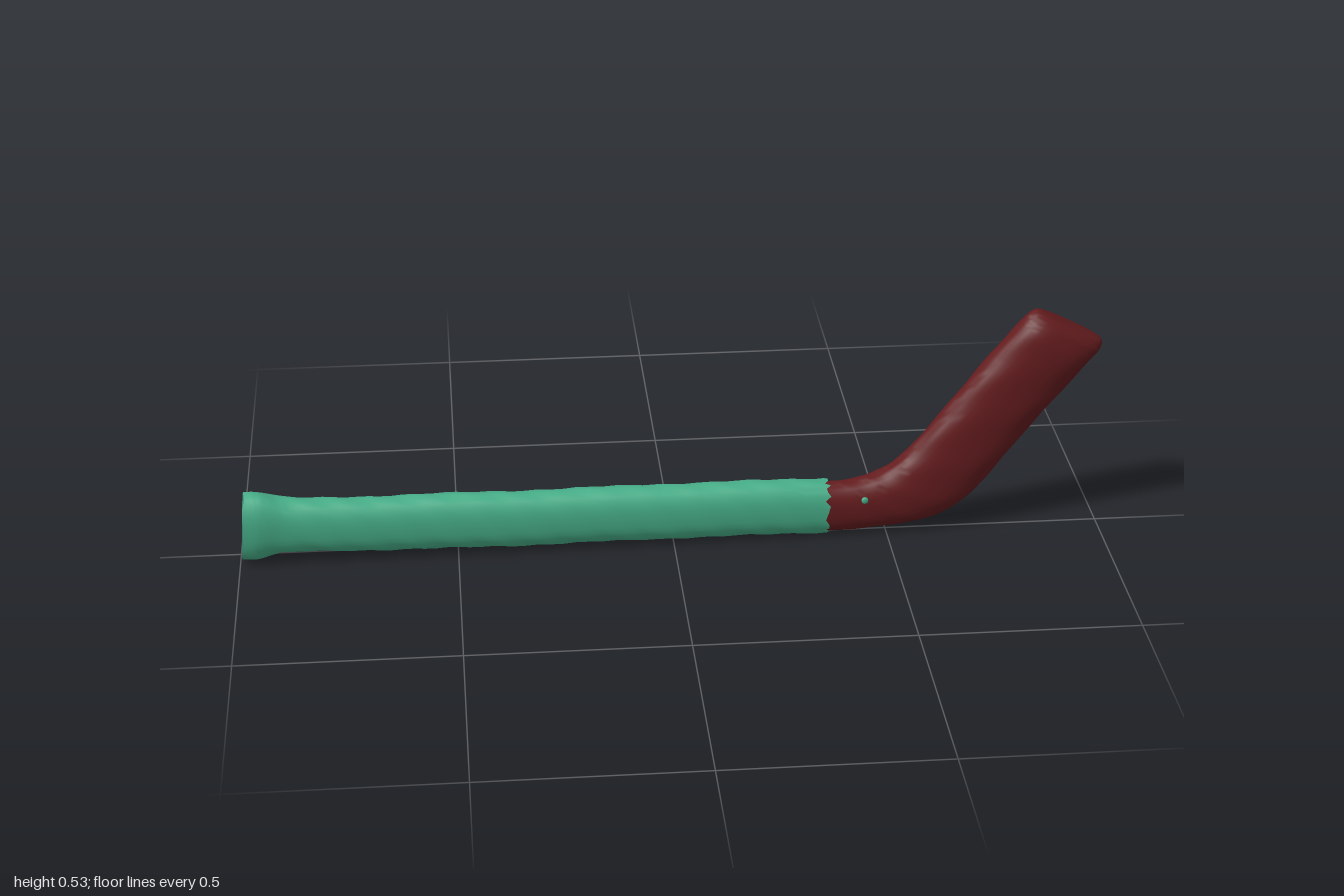
import * as THREE from 'three';
import { toCreasedNormals } from 'three/addons/utils/BufferGeometryUtils.js';

const SIDES = 32;

// Loft through sections [lowX, lowY, highX, highY, zCentre, halfThickness];
// the outline of each is a rounded, flattened oval between the two edge points.
function loft(sections, steps, wobble, jag = 0) {
  const curve = pick => new THREE.CatmullRomCurve3(sections.map(s => new THREE.Vector3(...pick(s))));
  const low = curve(s => [s[0], s[1], 0]);
  const high = curve(s => [s[2], s[3], 0]);
  const depth = curve(s => [s[4], s[5], 0]);
  const rings = (sections.length - 1) * steps;
  const round = v => Math.sign(v) * Math.abs(v) ** 0.82;
  const pos = [], index = [];
  for (let i = 0; i <= rings; i++) {
    const t = i / rings;
    const a = low.getPoint(t), b = high.getPoint(t), d = depth.getPoint(t);
    for (let j = 0; j < SIDES; j++) {
      const ang = (j / SIDES) * Math.PI * 2;
      // gentle hand-wrapped unevenness
      const w = 1 + wobble * Math.sin(a.x * 23 + 2 * ang) * Math.sin(a.x * 41 + 3 * ang + 1);
      const s = round(Math.sin(ang)) * w, c = round(Math.cos(ang)) * w;
      // ragged last ring
      const rag = i === rings ? jag * Math.sin(j * 2.4) : 0;
      pos.push((a.x + b.x) / 2 + (b.x - a.x) / 2 * s + rag,
        (a.y + b.y) / 2 + (b.y - a.y) / 2 * s,
        d.x + d.y * c);
      if (i < rings) {
        const k = (j + 1) % SIDES, p = i * SIDES, q = p + SIDES;
        index.push(p + j, q + j, p + k, p + k, q + j, q + k);
      }
    }
  }
  const geo = new THREE.BufferGeometry();
  geo.setAttribute('position', new THREE.Float32BufferAttribute(pos, 3));
  geo.setIndex(index);
  return toCreasedNormals(geo, 0.9);
}

export function createModel() {
  const group = new THREE.Group();
  const green = new THREE.MeshStandardMaterial({ color: 0x48b08a, side: THREE.DoubleSide });
  const maroon = new THREE.MeshStandardMaterial({ color: 0x641c1e });
  const add = (name, geo, mat) => {
    const mesh = new THREE.Mesh(geo, mat);
    mesh.name = name;
    group.add(mesh);
    return mesh;
  };

  // Wrapped grip, flared at the butt
  add('grip', loft([
    [-0.995, 0.012, -0.985, 0.176, 0.029, 0.045],
    [-0.96, 0.013, -0.95, 0.174, 0.028, 0.047],
    [-0.90, 0.024, -0.89, 0.157, 0.027, 0.042],
    [-0.75, 0.022, -0.75, 0.150, 0.025, 0.042],
    [-0.55, 0.016, -0.55, 0.148, 0.021, 0.042],
    [-0.35, 0.013, -0.35, 0.145, 0.018, 0.042],
    [-0.10, 0.012, -0.10, 0.144, 0.013, 0.042],
    [0.15, 0.010, 0.15, 0.142, 0.009, 0.042],
    [0.36, 0.006, 0.36, 0.138, 0.004, 0.042],
  ], 8, 0.035, 0.007), green);

  // Hollow in the butt end
  add('buttRecess', loft([
    [-0.955, 0.093, -0.955, 0.095, 0.029, 0.001],
    [-0.965, 0.040, -0.960, 0.148, 0.029, 0.028],
    [-0.995, 0.012, -0.985, 0.176, 0.029, 0.045],
  ], 4, 0), green);

  // Neck, bend and angled blade with a blunt tip
  add('blade', loft([
    [0.33, 0.012, 0.33, 0.130, 0.004, 0.037],
    [0.38, 0.010, 0.37, 0.130, 0.003, 0.038],
    [0.47, 0.014, 0.43, 0.134, 0.000, 0.042],
    [0.59, 0.028, 0.49, 0.152, -0.006, 0.049],
    [0.67, 0.062, 0.54, 0.190, -0.010, 0.047],
    [0.735, 0.128, 0.59, 0.247, -0.013, 0.046],
    [0.81, 0.222, 0.666, 0.340, -0.019, 0.048],
    [0.89, 0.318, 0.739, 0.430, -0.025, 0.051],
    [0.96, 0.402, 0.80, 0.503, -0.028, 0.051],
    [0.992, 0.440, 0.824, 0.528, -0.031, 0.042],
    [0.995, 0.456, 0.838, 0.536, -0.034, 0.030],
    [0.975, 0.470, 0.860, 0.530, -0.035, 0.014],
    [0.917, 0.500, 0.915, 0.501, -0.035, 0.001],
  ], 6, 0.02), maroon);

  // Stray fleck of wrap on the neck
  const fleck = add('wrapFleck', new THREE.SphereGeometry(0.009, 10, 8), green);
  fleck.scale.z = 0.5;
  fleck.position.set(0.445, 0.098, 0.038);

  return group;
}
